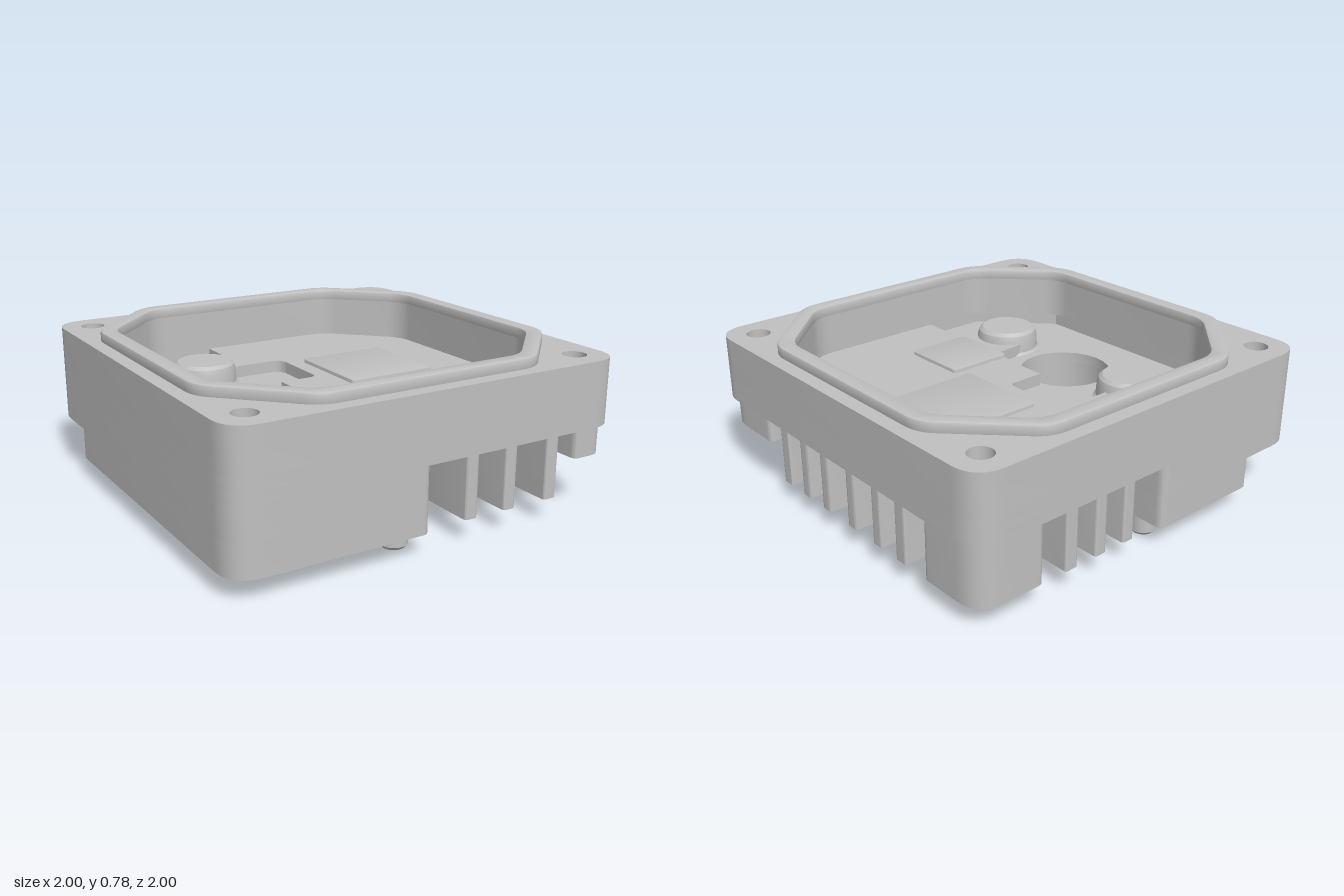
import * as THREE from 'three';
import { toCreasedNormals } from 'three/addons/utils/BufferGeometryUtils.js';

const metal = new THREE.MeshStandardMaterial({ color: 0xc0c0c0 });
metal.name = 'cast grey metal';

// Heights of the main levels
const BASE = 0.103, STEP = 0.258, PLATE = 0.413, LOW = 0.465, FLOOR = 0.525, TOP = 0.731, RIM = 0.78;

// Closed outline through [x, z] corners, each rounded by r (or its own third value)
function outline(points, r = 0, Type = THREE.Shape) {
  const path = new Type();
  const n = points.length;
  points.forEach((p, i) => {
    const c = new THREE.Vector2(p[0], p[1]);
    const toward = (q) => {
      const d = new THREE.Vector2(q[0], q[1]).sub(c);
      const len = d.length();
      return c.clone().addScaledVector(d, Math.min(p[2] ?? r, len * 0.48) / len);
    };
    const a = toward(points[(i + n - 1) % n]);
    const b = toward(points[(i + 1) % n]);
    if (i === 0) path.moveTo(a.x, a.y);
    else path.lineTo(a.x, a.y);
    if ((p[2] ?? r) > 0) path.quadraticCurveTo(c.x, c.y, b.x, b.y);
  });
  path.closePath();
  return path;
}

const rect = (x0, z0, x1, z1) => [[x0, z0], [x1, z0], [x1, z1], [x0, z1]];

const octagon = (s, c) => [
  [-s, -c], [-c, -s], [c, -s], [s, -c], [s, c], [c, s], [-c, s], [-s, c],
];

const circle = (x, z, r) => new THREE.Path().absarc(x, z, r, 0, Math.PI * 2, true);

export function createModel() {
  const model = new THREE.Group();
  model.name = 'heatSinkHousing';

  function add(name, geometry, x = 0, y = 0, z = 0) {
    const mesh = new THREE.Mesh(geometry, metal);
    mesh.name = name;
    mesh.position.set(x, y, z);
    model.add(mesh);
  }

  // Horizontal layer from y0 to y1, with optional holes and edge bevel
  function slab(name, shape, y0, y1, holes = [], bevel = 0) {
    shape.holes = holes;
    const g = new THREE.ExtrudeGeometry(shape, {
      depth: y1 - y0 - 2 * bevel, curveSegments: 12,
      bevelEnabled: bevel > 0, bevelThickness: bevel, bevelSize: bevel,
      bevelOffset: -bevel, bevelSegments: 2,
    });
    g.rotateX(Math.PI / 2).translate(0, y1 - bevel, 0);
    add(name, toCreasedNormals(g, 0.6));
  }

  function turned(name, profile, x, y, z) {
    const g = new THREE.LatheGeometry(profile.map((p) => new THREE.Vector2(...p)), 40);
    add(name, toCreasedNormals(g, 0.5), x, y, z);
  }

  const screwHoles = () => [[-1, -1], [1, -1], [1, 1], [-1, 1]]
    .map(([x, z]) => circle(x * 0.85, z * 0.85, 0.058));
  const plate = () => outline(rect(-1, -1, 1, 1), 0.15);
  const cavity = () => outline(octagon(0.85, 0.52), 0.08, THREE.Path);
  const bore = () => circle(-0.42, 0, 0.23);

  // Sealing rim and cavity walls, with blind screw holes in the corners
  slab('rim', outline(octagon(0.93, 0.55), 0.08), TOP - 0.015, RIM, [cavity()], 0.012);
  slab('walls', plate(), FLOOR, TOP, [cavity(), ...screwHoles()]);

  // Raised floor, open over the lower floor on the left
  const lowArea = outline([
    [-0.85, -0.52], [-0.53, -0.85], [-0.2, -0.85], [-0.2, -0.62, 0.05], [-0.42, -0.62],
    [-0.3, -0.44], [0.02, -0.44, 0.07], [0.02, -0.07, 0.04], [-0.18, -0.07],
    [-0.18, 0.1], [-0.2, 0.28, 0.03], [-0.42, 0.3], [-0.42, 0.61],
    [-0.2, 0.61, 0.05], [-0.2, 0.85], [-0.53, 0.85], [-0.85, 0.52],
  ], 0, THREE.Path);
  slab('raisedFloor', plate(), LOW, FLOOR, [lowArea]);
  slab('lowFloor', plate(), PLATE, LOW, [bore()]);

  // Deep left block, with one corner cut away and a recess around the bore
  const edge = [
    [0.13, -0.45, 0.08], [0.13, 0.45, 0.08], [-0.06, 0.68, 0.08],
    [-0.06, 1, 0.04], [-1, 1, 0.15],
  ];
  const blindHoles = [-0.45, 0.45].map((z) => circle(-0.42, z, 0.075));
  const counterbore = (x, z) => circle(x, z, 0.08);
  const recess = outline([
    [-0.42, -0.9, 0.16], [-0.04, -0.35], [-0.04, 0.35],
    [-0.42, 0.9, 0.16], [-0.82, 0.35], [-0.82, -0.35],
  ], 0.13, THREE.Path);
  slab('blockTop', outline([[-1, -1, 0.15], [-0.06, -1, 0.04], [-0.06, -0.68, 0.08], ...edge]),
    STEP, PLATE, [bore(), ...blindHoles]);
  slab('blockBottom', outline([
    [-1, -0.67, 0.03], [-0.7, -0.67, 0.12], [-0.67, -1, 0.03],
    [-0.06, -1, 0.04], [-0.06, -0.68, 0.08], ...edge,
  ]), BASE, STEP, [recess, counterbore(-0.85, 0.85)]);

  // Round caps inside the cavity and locating pins beneath
  for (const s of [-1, 1]) {
    turned('roundCap', [
      [0.175, 0], [0.162, 0.012], [0.158, 0.075], [0.15, 0.1], [0.132, 0.115], [0, 0.115],
    ], -0.417, LOW, s * 0.45);
    turned('locatingPin', [
      [0, 0], [0.052, 0], [0.065, 0.015], [0.065, 0.12],
    ], -0.133, 0, s * 0.83);
  }

  // Flat contact pads on the raised floor
  slab('largePad', outline(rect(0.1, -0.34, 0.578, 0.137), 0.02), LOW, FLOOR + 0.018, [], 0.004);
  slab('smallPad', outline(rect(-0.2, 0.21, 0.138, 0.557), 0.02), LOW, FLOOR + 0.018, [], 0.004);

  // Screw bosses under the right corners
  slab('backBoss', outline([
    [0.62, -0.97, 0.03], [0.97, -0.97, 0.14], [0.97, -0.62, 0.03], [0.62, -0.62, 0.1],
  ]), BASE, PLATE, [counterbore(0.83, -0.83)]);
  slab('frontBoss', outline([
    [0.78, 0.6, 0.06], [0.97, 0.6, 0.03], [0.97, 0.97, 0.14], [0.78, 0.97, 0.03],
  ]), 0.268, PLATE);

  // Corner fins bent around the bosses
  const bentFin = (x, s) => outline([
    [x, s * 0.97, 0.01], [x, s * 0.425, 0.18], [0.97, s * 0.425, 0.01],
    [0.97, s * 0.493, 0.01], [x + 0.068, s * 0.493, 0.12], [x + 0.068, s * 0.97, 0.01],
  ]);
  slab('frontBentFin', bentFin(0.605, 1), BASE, PLATE);
  slab('backBentFin', bentFin(0.43, -1), BASE, PLATE);

  // Straight fins
  const fin = (x0, z0, x1, z1) =>
    slab('coolingFin', outline(rect(x0, z0, x1, z1), 0.015), BASE, PLATE);
  for (const z of [0.29, 0.12, -0.09, -0.285]) fin(0.1, z - 0.033, 0.97, z + 0.033);
  for (const x of [0.185, 0.4]) fin(x - 0.033, 0.5, x + 0.033, 0.97);
  for (const x of [0.12, 0.29]) fin(x - 0.033, -0.97, x + 0.033, -0.48);

  return model;
}
